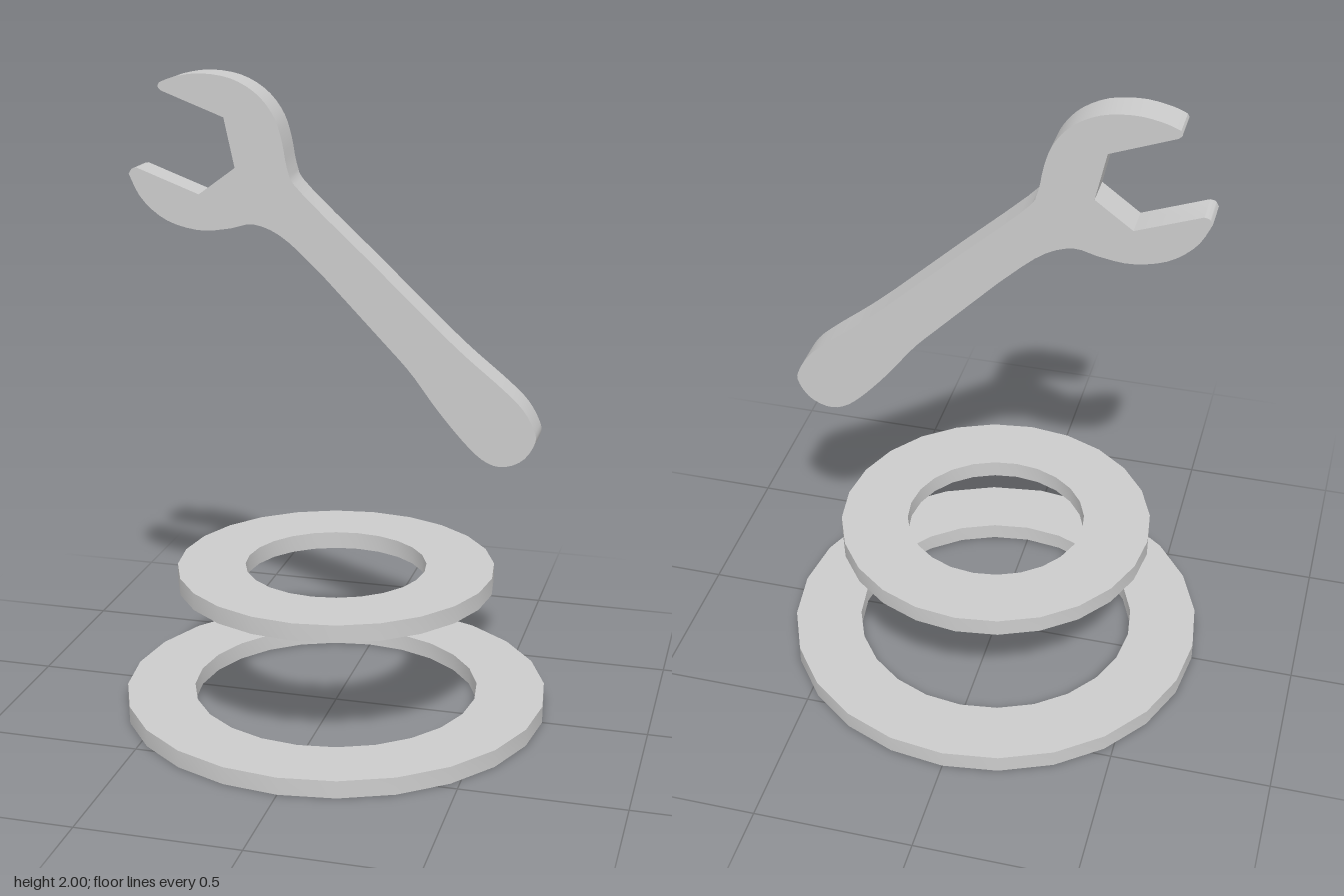
import * as THREE from 'three';
import { toCreasedNormals } from 'three/addons/utils/BufferGeometryUtils.js';

const material = new THREE.MeshStandardMaterial({ color: 0xcccccc });
const THICKNESS = 0.055;

function part(name, geometry) {
  const mesh = new THREE.Mesh(toCreasedNormals(geometry, 0.6), material);
  mesh.name = name;
  return mesh;
}

// Flat washer: rectangular section turned around the y axis
function ring(name, inner, outer, y) {
  const section = [
    [inner, 0], [outer, 0], [outer, THICKNESS], [inner, THICKNESS], [inner, 0],
  ].map(([r, h]) => new THREE.Vector2(r, h));
  const mesh = part(name, new THREE.LatheGeometry(section, 24));
  mesh.position.y = y;
  return mesh;
}

// Open-ended wrench: outline extruded through z
function wrench() {
  const spline = (shape, points) =>
    shape.splineThru(points.map(([x, y]) => new THREE.Vector2(x, y)));
  const shape = new THREE.Shape();

  // hexagonal jaw opening
  shape.moveTo(-0.527, 1.945);
  shape.lineTo(-0.333, 1.872);
  shape.lineTo(-0.30, 1.722);
  shape.lineTo(-0.415, 1.637);
  shape.lineTo(-0.612, 1.71);

  // lower jaw tip and outer curve
  spline(shape, [[-0.628, 1.706], [-0.638, 1.69]]);
  spline(shape, [
    [-0.598, 1.615], [-0.52, 1.553], [-0.415, 1.527], [-0.32, 1.537],
    [-0.24, 1.553], [-0.145, 1.513], [-0.02, 1.40],
  ]);

  // underside of the handle, rounded end and upper side
  spline(shape, [
    [0.155, 1.22], [0.245, 1.125], [0.325, 1.02], [0.405, 0.927],
    [0.47, 0.868], [0.53, 0.85], [0.593, 0.876], [0.63, 0.935],
    [0.622, 0.98], [0.585, 1.04], [0.52, 1.10], [0.415, 1.185], [0.325, 1.265],
  ]);
  shape.lineTo(0.114, 1.463);

  // neck and outer curve of the upper jaw
  spline(shape, [
    [-0.098, 1.66], [-0.135, 1.722], [-0.152, 1.807], [-0.177, 1.88],
    [-0.23, 1.945], [-0.31, 1.988], [-0.405, 2.0], [-0.485, 1.988], [-0.533, 1.97],
  ]);
  spline(shape, [[-0.538, 1.957], [-0.527, 1.945]]);

  const depth = 0.106;
  const geometry = new THREE.ExtrudeGeometry(shape, {
    depth, bevelEnabled: false, curveSegments: 3,
  });
  geometry.translate(0, 0, -depth / 2);
  return part('wrench', geometry);
}

export function createModel() {
  const model = new THREE.Group();
  model.name = 'wrenchAndRings';
  model.add(
    ring('lowerRing', 0.453, 0.67, 0),
    ring('upperRing', 0.286, 0.5, 0.413),
    wrench(),
  );
  return model;
}
